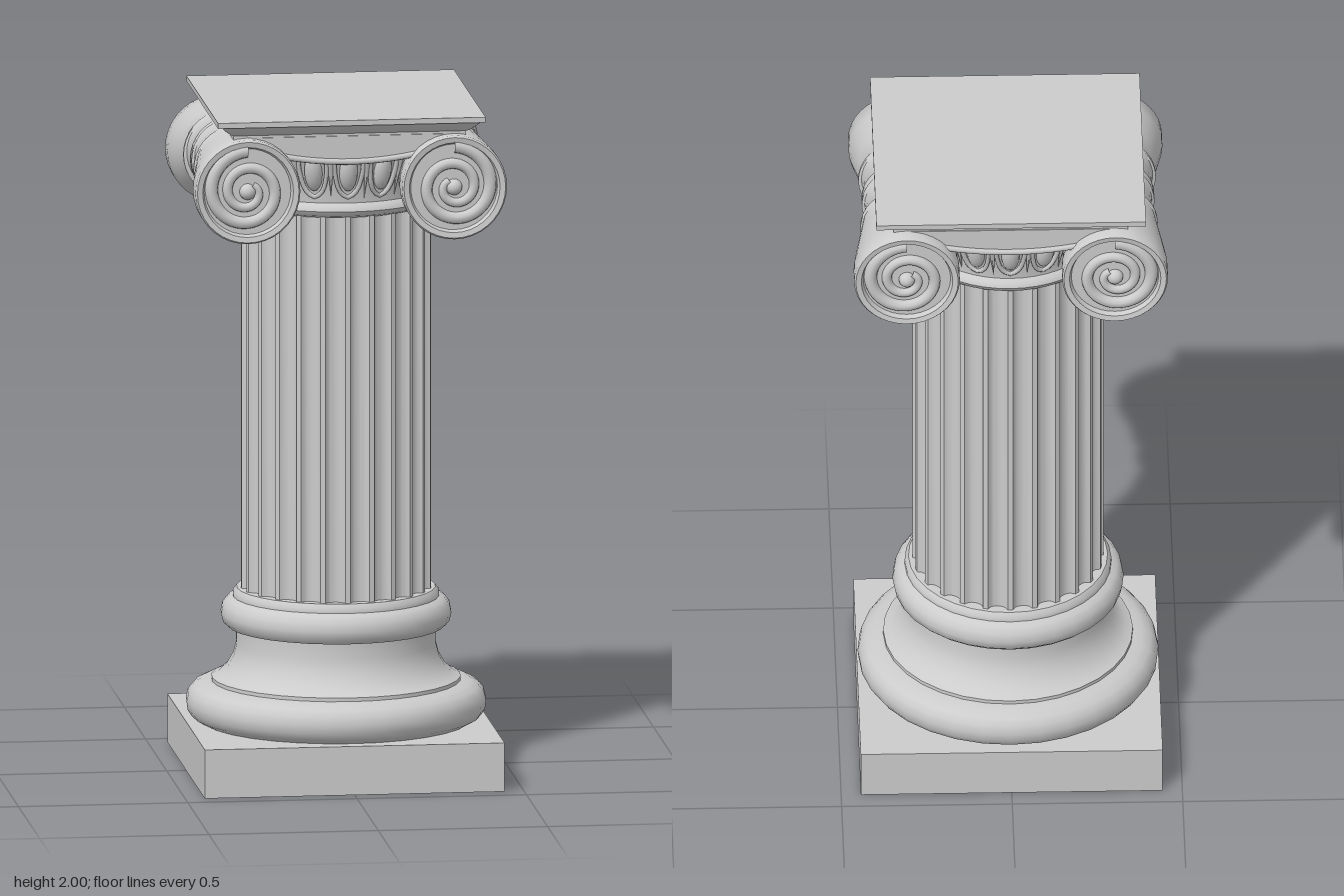
import * as THREE from 'three';
import { toCreasedNormals } from 'three/addons/utils/BufferGeometryUtils.js';
import { ParametricGeometry } from 'three/addons/geometries/ParametricGeometry.js';

const material = new THREE.MeshStandardMaterial({ color: 0xcccccc });
const TAU = Math.PI * 2;

function add(parent, name, geometry, x = 0, y = 0, z = 0) {
  const mesh = new THREE.Mesh(geometry, material);
  mesh.name = name;
  mesh.position.set(x, y, z);
  parent.add(mesh);
  return mesh;
}

// Turned profile of [radius, height] pairs, listed bottom to top
function turned(points, segments) {
  return new THREE.LatheGeometry(points.map(([r, h]) => new THREE.Vector2(r, h)), segments);
}

// Shaft cross-section: flat ridges separated by rounded flutes
function flutedShaft(radius, count, depth, height) {
  const shape = new THREE.Shape();
  const steps = 8, ridge = 0.2;
  for (let i = 0; i < count; i++) {
    for (let j = 0; j <= steps; j++) {
      const s = j / steps;
      const a = ((i + ridge / 2 + s * (1 - ridge)) / count) * TAU;
      const r = radius - depth * Math.sqrt(Math.max(0, 1 - (2 * s - 1) ** 2));
      if (i + j === 0) shape.moveTo(r * Math.cos(a), r * Math.sin(a));
      else shape.lineTo(r * Math.cos(a), r * Math.sin(a));
    }
  }
  shape.closePath();
  const g = new THREE.ExtrudeGeometry(shape, { depth: height, bevelEnabled: false });
  return toCreasedNormals(g.rotateX(-Math.PI / 2), 0.7);
}

// Scroll roll along z, waisted in the middle while its top stays level
const ROLL = 0.155;
function bolster() {
  const half = [
    [0, 0.35], [0.128, 0.35], [0.134, 0.365], [0.15, 0.368], [ROLL, 0.36], [ROLL, 0.3],
    [0.147, 0.25], [0.136, 0.19], [0.125, 0.13], [0.131, 0.126], [0.131, 0.114],
    [0.122, 0.11], [0.116, 0.07], [0.116, 0.026], [0.124, 0.02], [0.124, 0.008], [0.117, 0.003],
  ];
  const profile = [
    ...half.map(([r, z]) => [r, -z]),
    ...half.slice().reverse(),
  ];
  const g = turned(profile, 36).rotateX(Math.PI / 2);
  const p = g.attributes.position;
  for (let i = 0; i < p.count; i++) {
    if (Math.abs(p.getZ(i)) >= 0.3) continue;
    const r = Math.hypot(p.getX(i), p.getY(i));
    p.setY(i, p.getY(i) + ROLL - r);
  }
  return toCreasedNormals(g, 0.75);
}

// Tapering rounded ridge winding in towards the eye
function spiral(dir) {
  return new ParametricGeometry((u, v, target) => {
    const theta = Math.PI / 2 - dir * u * TAU * 1.9;
    const phi = -dir * v * TAU;
    const r = 0.122 - 0.1 * u + 0.018 * Math.sin(Math.PI * u) * (u - 0.5);
    const w = 0.02 - 0.008 * u;
    const d = r + w * Math.cos(phi);
    target.set(d * Math.cos(theta), d * Math.sin(theta), w * Math.sin(phi));
  }, 90, 10);
}

export function createModel() {
  const model = new THREE.Group();
  model.name = 'column';

  // Base
  add(model, 'plinth', new THREE.BoxGeometry(0.885, 0.145, 0.885), 0, 0.0725, 0);
  add(model, 'baseMouldings', toCreasedNormals(turned([
    [0, 0.145], [0.4, 0.145], [0.425, 0.16], [0.438, 0.18], [0.441, 0.205], [0.435, 0.23],
    [0.42, 0.248], [0.395, 0.26], [0.366, 0.264], [0.366, 0.275], [0.345, 0.284], [0.32, 0.308],
    [0.302, 0.34], [0.293, 0.375], [0.294, 0.425], [0.318, 0.426], [0.333, 0.44], [0.339, 0.465],
    [0.334, 0.49], [0.32, 0.508], [0.303, 0.515], [0.303, 0.528], [0.292, 0.541], [0, 0.541],
  ], 32), 0.75));

  // Shaft
  add(model, 'shaft', flutedShaft(0.28, 24, 0.02, 1.165), 0, 0.538, 0);

  // Neck and bell below the capital
  add(model, 'echinus', toCreasedNormals(turned([
    [0.27, 1.69], [0.29, 1.698], [0.298, 1.712], [0.293, 1.727], [0.279, 1.735],
    [0.283, 1.78], [0.298, 1.835], [0.322, 1.89], [0, 1.9],
  ], 48), 0.75));

  // Egg and dart ring
  const ring = new THREE.Group();
  ring.name = 'eggAndDart';
  model.add(ring);
  const egg = new THREE.SphereGeometry(1, 14, 10).scale(0.027, 0.06, 0.024);
  const shell = new THREE.TubeGeometry(new THREE.CatmullRomCurve3([
    [-0.044, 0.07], [-0.04, 0], [-0.024, -0.055], [0, -0.074],
    [0.024, -0.055], [0.04, 0], [0.044, 0.07],
  ].map(([x, y]) => new THREE.Vector3(x, y, 0))), 20, 0.007, 6);
  const dart = new THREE.ConeGeometry(0.012, 0.13, 6).rotateX(Math.PI);
  const count = 18;
  for (let i = 0; i < count; i++) {
    const unit = new THREE.Group();
    unit.name = 'eggUnit';
    unit.rotation.y = (i / count) * TAU;
    ring.add(unit);
    add(unit, 'egg', egg, 0, 1.83, 0.298).rotation.x = 0.25;
    add(unit, 'eggShell', shell, 0, 1.825, 0.299).rotation.x = 0.25;
    const between = new THREE.Group();
    between.name = 'dartMount';
    between.rotation.y = Math.PI / count;
    unit.add(between);
    add(between, 'dart', dart, 0, 1.81, 0.297).rotation.x = 0.25;
  }

  // Sagging band joining the scrolls
  const band = new THREE.Shape();
  band.moveTo(-0.3, 1.945);
  band.lineTo(-0.3, 1.905);
  band.quadraticCurveTo(0, 1.822, 0.3, 1.905);
  band.lineTo(0.3, 1.945);
  band.closePath();
  const bandGeo = new THREE.ExtrudeGeometry(band, { depth: 0.66, bevelEnabled: false, curveSegments: 20 });
  add(model, 'scrollBand', toCreasedNormals(bandGeo, 0.6), 0, 0, -0.33);
  const lip = new THREE.TubeGeometry(new THREE.QuadraticBezierCurve3(
    new THREE.Vector3(-0.27, 1.905, 0), new THREE.Vector3(0, 1.832, 0), new THREE.Vector3(0.27, 1.905, 0),
  ), 24, 0.009, 8);
  for (const side of [1, -1]) add(model, 'bandLip', lip, 0, 0, side * 0.332);

  // Scrolls with a spiral and eye on both faces
  const roll = bolster();
  const eye = new THREE.SphereGeometry(0.024, 16, 10);
  for (const side of [1, -1]) {
    const scroll = new THREE.Group();
    scroll.name = side > 0 ? 'leftScroll' : 'rightScroll';
    scroll.position.set(side * 0.305, 1.79, 0);
    model.add(scroll);
    add(scroll, 'bolster', roll);
    for (const face of [1, -1]) {
      add(scroll, 'spiral', spiral(side * face), 0, 0, face * 0.352).rotation.y = face > 0 ? 0 : Math.PI;
      add(scroll, 'eye', eye, 0, 0, face * 0.352);
    }
  }

  // Square moulded top slab
  const abacus = turned([
    [0, 1.94], [0.87, 1.94], [0.87, 1.952], [0.895, 1.957], [0.935, 1.97],
    [0.965, 1.982], [1, 1.984], [1, 2], [0, 2],
  ].map(([r, y]) => [r * Math.SQRT2, y]), 4).rotateY(Math.PI / 4).scale(0.395, 1, 0.375);
  add(model, 'abacus', toCreasedNormals(abacus, 0.5));

  return model;
}
